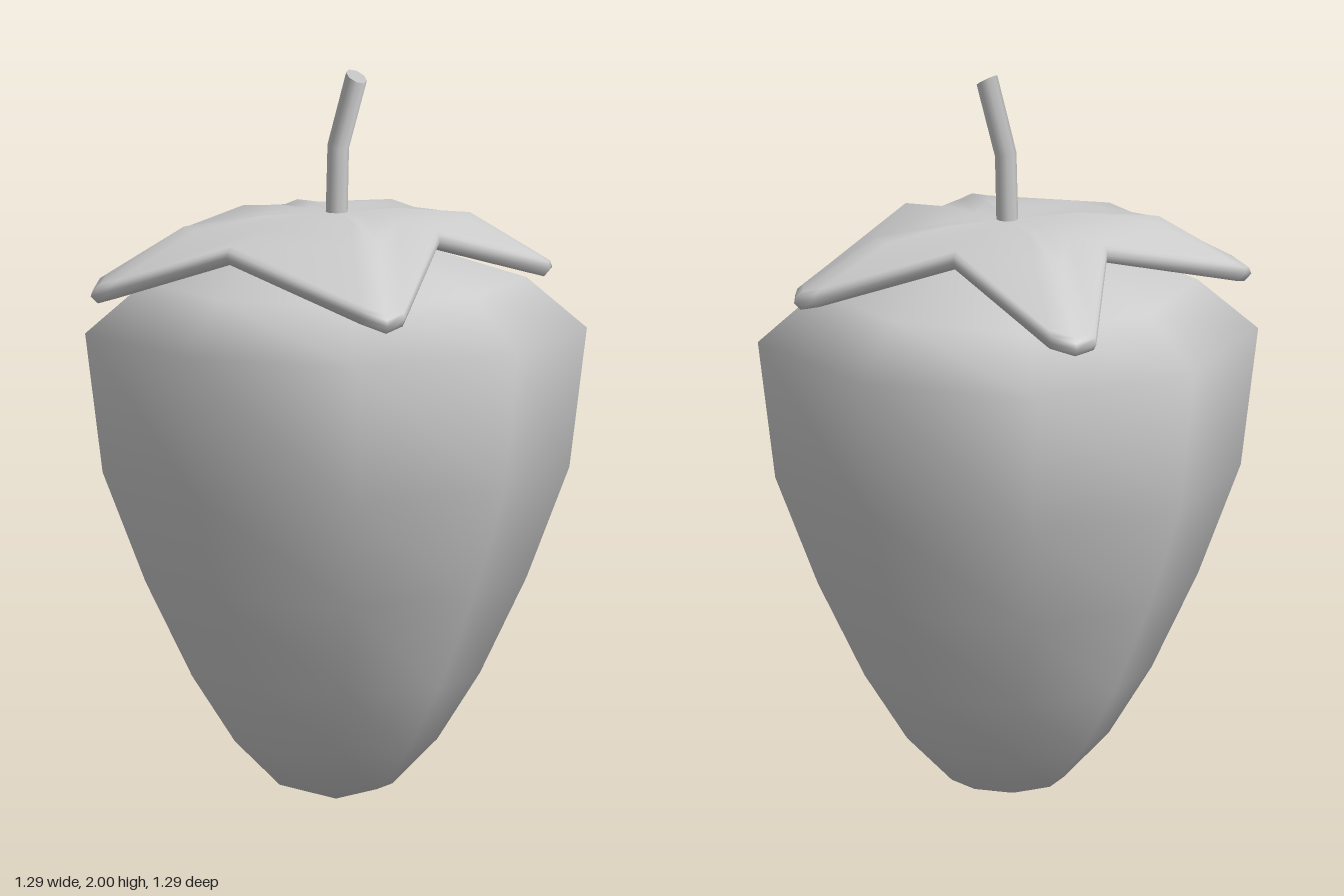
import * as THREE from 'three';

const material = new THREE.MeshStandardMaterial({ color: 0xcccccc });

function addPart(group, name, geometry) {
  const mesh = new THREE.Mesh(geometry, material);
  mesh.name = name;
  group.add(mesh);
}

// Eight-sided fruit, slightly fuller along its diagonals
function fruitGeometry() {
  const profile = [[0, 0], [0.145, 0.04], [0.26, 0.16], [0.37, 0.34], [0.49, 0.6],
    [0.6, 0.9], [0.645, 1.28], [0.49, 1.42], [0.25, 1.5], [0, 1.53]];
  const geometry = new THREE.LatheGeometry(profile.map(([r, y]) => new THREE.Vector2(r, y)), 8);
  const p = geometry.attributes.position;
  for (let i = 0; i < p.count; i++) {
    const x = p.getX(i), z = p.getZ(i);
    if (Math.min(Math.abs(x), Math.abs(z)) > 0.01) p.setXYZ(i, x * 1.055, p.getY(i), z * 1.055);
  }
  return geometry;
}

// Four-pointed calyx: each point is a valley followed by a blunt three-point tip
function calyxGeometry() {
  const outline = [ // x, z, top height
    [0, -0.345, 1.59], [0.29, -0.54, 1.435], [0.36, -0.53, 1.43], [0.4, -0.47, 1.45],
    [0.335, -0.08, 1.595], [0.53, 0.25, 1.475], [0.525, 0.32, 1.455], [0.47, 0.36, 1.46],
    [0, 0.37, 1.59], [-0.31, 0.51, 1.425], [-0.37, 0.5, 1.41], [-0.41, 0.44, 1.435],
    [-0.455, 0, 1.56], [-0.575, -0.32, 1.45], [-0.565, -0.39, 1.43], [-0.495, -0.425, 1.45]];
  // Rings run over the top, round the rim and back underneath: scale, drop
  const rings = [[0.3, null], [0.62, null], [0.96, 0], [0.99, 0.012], [1, 0.03], [0.97, 0.05], [0.6, null]];
  const n = outline.length;
  const positions = [0, 1.605, 0];
  rings.forEach(([scale, drop], r) => outline.forEach(([x, z, y], i) => {
    const ridge = i % 4 === 2 ? 0.01 : 0;
    let height = y - drop;
    if (drop === null) {
      height = r === 0 ? 1.605 : 1.605 - (1.6 - y) * 0.2 + ridge;
      if (r === rings.length - 1) height -= 0.055;
    }
    positions.push(x * scale, height, z * scale);
  }));
  positions.push(0, 1.55, 0);
  const last = positions.length / 3 - 1;
  const index = [];
  for (let i = 0; i < n; i++) {
    const j = (i + 1) % n;
    index.push(0, 1 + j, 1 + i);
    for (let r = 0; r < rings.length - 1; r++) {
      const a = 1 + r * n + i, b = 1 + r * n + j;
      index.push(a, b, b + n, a, b + n, a + n);
    }
    const base = 1 + (rings.length - 1) * n;
    index.push(last, base + i, base + j);
  }
  const geometry = new THREE.BufferGeometry();
  geometry.setAttribute('position', new THREE.Float32BufferAttribute(positions, 3));
  geometry.setIndex(index);
  geometry.computeVertexNormals();
  return geometry;
}

// Stem with one bend towards the front and a slanted cut
function stemGeometry() {
  const geometry = new THREE.CylinderGeometry(0.03, 0.03, 2, 8, 2);
  const levels = [[1.52, 0, 0], [1.785, 0.008, 0.25], [1.982, 0.073, 0.55]]; // y, z, tilt
  const p = geometry.attributes.position;
  for (let i = 0; i < p.count; i++) {
    const [y, z, tilt] = levels[Math.round(p.getY(i)) + 1];
    p.setXYZ(i, p.getX(i), y - p.getZ(i) * tilt, z + p.getZ(i) * (1 - tilt * 0.2));
  }
  return geometry;
}

export function createModel() {
  const group = new THREE.Group();
  group.name = 'strawberry';
  addPart(group, 'fruit', fruitGeometry());
  addPart(group, 'calyx', calyxGeometry());
  addPart(group, 'stem', stemGeometry());
  return group;
}
